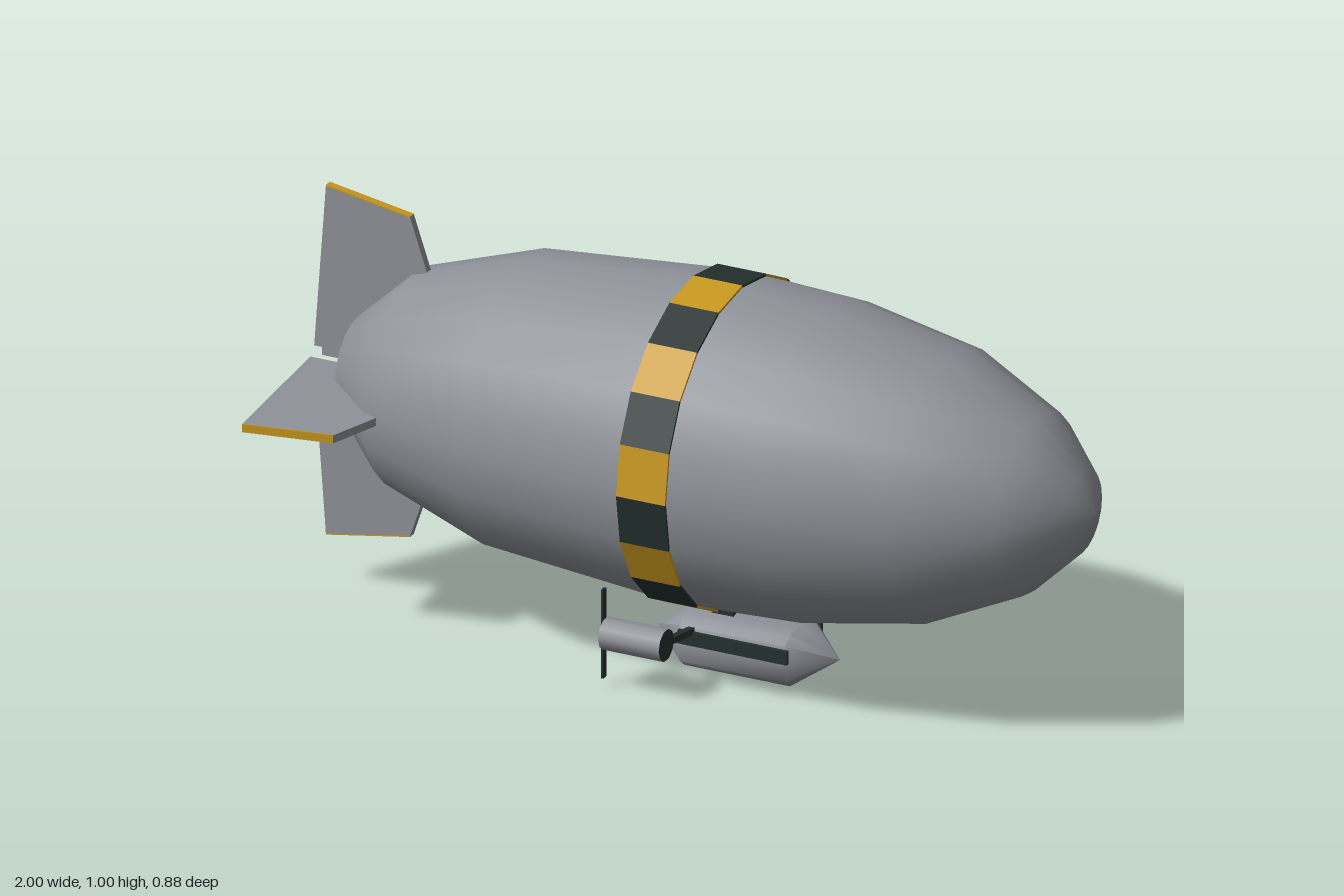
import * as THREE from 'three';
import { toCreasedNormals } from 'three/addons/utils/BufferGeometryUtils.js';

const AXIS_Y = 0.563; // height of the hull centreline
const SIDES = 20;

const material = (name, color) => {
  const m = new THREE.MeshStandardMaterial({ color });
  m.name = name;
  return m;
};

// Lathe turned so that its axis runs along x; profile is [x, radius] pairs
function latheX(profile, segments, start = 0, length = Math.PI * 2) {
  const points = profile.map(([x, r]) => new THREE.Vector2(r, x));
  return new THREE.LatheGeometry(points, segments, start, length).rotateZ(-Math.PI / 2);
}

export function createModel() {
  const model = new THREE.Group();
  const grey = material('hull grey', 0x8f9299);
  const yellow = material('amber yellow', 0xc8981f);
  const dark = material('dark slate', 0x24312f);

  const add = (name, geometry, mat, x = 0, y = 0, z = 0, parent = model) => {
    const mesh = new THREE.Mesh(geometry, mat);
    mesh.name = name;
    mesh.position.set(x, y, z);
    parent.add(mesh);
    return mesh;
  };

  // Hull
  const hull = [[-0.94, 0], [-0.89, 0.125], [-0.75, 0.258], [-0.47, 0.35], [-0.03, 0.388],
    [0.09, 0.389], [0.3, 0.38], [0.61, 0.324], [0.84, 0.217], [0.96, 0.1], [0.995, 0]];
  add('hull', latheX(hull, SIDES), grey, 0, AXIS_Y);

  // Chequered band around the hull
  const band = new THREE.Group();
  band.name = 'band';
  band.position.y = AXIS_Y;
  model.add(band);
  const step = (Math.PI * 2) / SIDES;
  const bandProfile = [[-0.035, 0.385], [-0.035, 0.395], [0.09, 0.395], [0.09, 0.385]];
  for (let i = 0; i < SIDES; i++) {
    const geometry = toCreasedNormals(latheX(bandProfile, 1, i * step, step), 0.5);
    add('bandBlock', geometry, i % 2 ? yellow : dark, 0, 0, 0, band);
  }

  // Four tail fins with coloured tips
  const outline = [[-1, 0.03], [-0.71, 0.03], [-0.71, 0.265], [-0.755, 0.4], [-0.97, 0.437]];
  const finShape = new THREE.Shape(outline.map(([x, y]) => new THREE.Vector2(x, y)));
  const finGeometry = new THREE.ExtrudeGeometry(finShape, { depth: 0.02, bevelEnabled: false });
  finGeometry.translate(0, 0, -0.01);
  const tipShape = new THREE.Shape([[-0.97, 0.435], [-0.755, 0.398], [-0.755, 0.401], [-0.97, 0.438]]
    .map(([x, y]) => new THREE.Vector2(x, y)));
  const tipGeometry = new THREE.ExtrudeGeometry(tipShape, { depth: 0.0204, bevelEnabled: false });
  tipGeometry.translate(0, 0, -0.0102);
  for (let i = 0; i < 4; i++) {
    const fin = new THREE.Group();
    fin.name = 'tailFin';
    fin.position.y = AXIS_Y;
    fin.rotation.x = (i * Math.PI) / 2;
    add('finPanel', finGeometry, grey, 0, 0, 0, fin);
    add('finTip', tipGeometry, yellow, 0, 0, 0, fin);
    model.add(fin);
  }

  // Gondola: rounded-box section tapering to a point at both ends
  const gondola = latheX([[-0.125, 0], [-0.03, 1], [0.24, 1], [0.34, 0]], 12);
  const p = gondola.attributes.position;
  const square = (v) => Math.sign(v) * Math.abs(v) ** 0.65;
  for (let i = 0; i < p.count; i++) {
    p.setY(i, 0.07 + 0.07 * square(p.getY(i)));
    p.setZ(i, 0.088 * square(p.getZ(i)));
  }
  add('gondola', toCreasedNormals(gondola, 0.8), grey);
  add('gondolaMount', new THREE.BoxGeometry(0.055, 0.06, 0.055), dark, 0.053, 0.155);

  // Windows, engines, struts and propellers on each side
  for (const side of [1, -1]) {
    add('windowStrip', new THREE.BoxGeometry(0.28, 0.034, 0.009), dark, 0.11, 0.091, side * 0.087);

    const engine = new THREE.CylinderGeometry(0.039, 0.039, 0.155, 10).rotateZ(-Math.PI / 2);
    add('engine', engine, [grey, dark, grey], -0.063, 0.136, side * 0.237);

    const strut = add('strut', new THREE.BoxGeometry(0.016, 0.016, 0.17), dark, 0, 0.119, side * 0.145);
    strut.rotation.x = -side * 0.17;

    add('propeller', new THREE.BoxGeometry(0.006, 0.222, 0.016), dark, -0.146, 0.135, side * 0.237);
  }

  return model;
}
